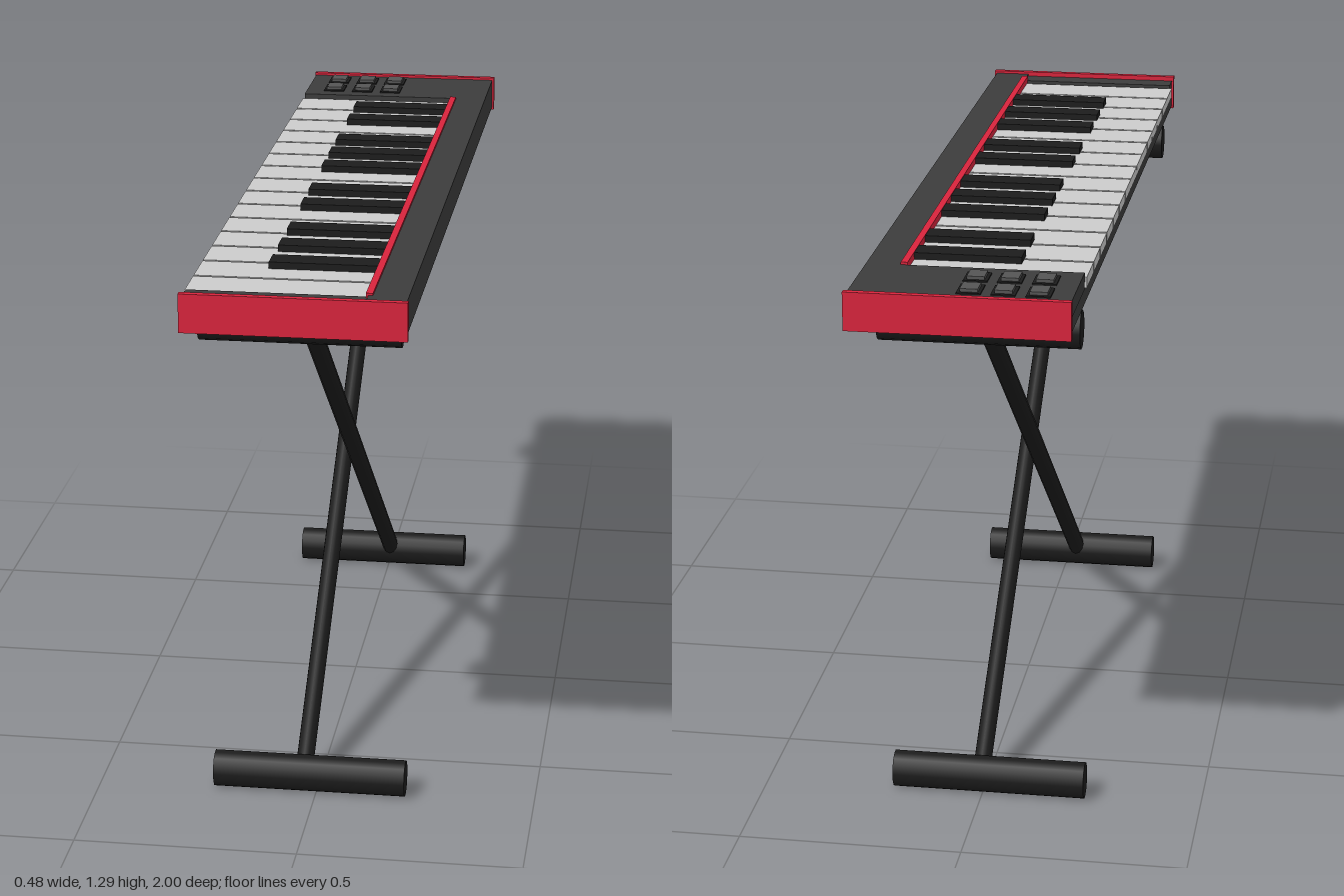
import * as THREE from 'three';

const mat = (color) => new THREE.MeshStandardMaterial({ color });

export function createModel() {
  const model = new THREE.Group();
  const dark = mat(0x3c3c3c), black = mat(0x1c1c1c), red = mat(0xd8243c);
  const ivory = mat(0xcccccc), padGrey = mat(0x555555);

  // box given by its limits on each axis
  function box(name, material, [x0, x1], [y0, y1], [z0, z1], parent = model) {
    const mesh = new THREE.Mesh(new THREE.BoxGeometry(x1 - x0, y1 - y0, z1 - z0), material);
    mesh.position.set((x0 + x1) / 2, (y0 + y1) / 2, (z0 + z1) / 2);
    mesh.name = name;
    parent.add(mesh);
    return mesh;
  }

  // Keyboard case: base slab, rear rail, control panel, end block
  const body = new THREE.Group();
  body.name = 'case';
  model.add(body);
  box('baseSlab', dark, [-0.235, 0.235], [1.203, 1.24], [-0.988, 0.988], body);
  box('rearRail', dark, [0.15, 0.235], [1.24, 1.277], [-0.988, 0.988], body);
  box('controlPanel', dark, [-0.237, 0.15], [1.24, 1.277], [-0.988, -0.772], body);
  box('endBlock', dark, [-0.235, 0.15], [1.24, 1.272], [0.932, 0.988], body);
  box('underside', black, [-0.233, 0.233], [1.201, 1.204], [-0.987, 0.987], body);
  box('trimStrip', red, [0.145, 0.16], [1.24, 1.282], [-0.77, 0.94], body);
  for (const s of [-1, 1]) {
    const z = s * 0.9925;
    box('endCap', red, [-0.24, 0.24], [1.198, 1.283], [z - 0.0075, z + 0.0075], body);
  }

  // White keys
  const keys = new THREE.Group();
  keys.name = 'keys';
  model.add(keys);
  const pitch = 0.1132, start = -0.77;
  for (let i = 0; i < 15; i++) {
    const z = start + i * pitch;
    box('whiteKey', ivory, [-0.241, 0.146], [1.242, 1.266], [z + 0.003, z + pitch - 0.004], keys);
  }

  // Black keys
  for (const z of [-0.665, -0.535, -0.33, -0.205, -0.08, 0.13, 0.257, 0.46, 0.587, 0.715]) {
    box('blackKey', black, [-0.09, 0.145], [1.25, 1.281], [z - 0.029, z + 0.029], keys);
  }

  // Two rows of three drum pads, each with a dark surround
  for (const z of [-0.928, -0.84]) {
    for (const x of [-0.165, -0.091, -0.018]) {
      box('padSurround', black, [x - 0.026, x + 0.026], [1.27, 1.28], [z - 0.032, z + 0.032]);
      box('pad', padGrey, [x - 0.019, x + 0.019], [1.27, 1.287], [z - 0.024, z + 0.024]);
    }
  }

  // Crossed stand: each side has a slanted leg, a foot bar and a support bar
  const stand = new THREE.Group();
  stand.name = 'stand';
  model.add(stand);
  const crossBar = (name, y, z) => {
    const geo = new THREE.CylinderGeometry(0.043, 0.043, 0.44, 14).rotateZ(Math.PI / 2);
    geo.scale(1, 1, 0.86);
    const bar = new THREE.Mesh(geo, black);
    bar.position.set(-0.015, y, z);
    bar.name = name;
    stand.add(bar);
  };
  const leg = (x, zTop, zFoot) => {
    const a = new THREE.Vector3(x, 0.044, zFoot), b = new THREE.Vector3(x, 1.157, zTop);
    const geo = new THREE.CylinderGeometry(0.025, 0.025, a.distanceTo(b), 12);
    geo.scale(0.8, 1, 1);
    const mesh = new THREE.Mesh(geo, black);
    mesh.position.copy(a).lerp(b, 0.5);
    mesh.rotation.x = Math.atan2(b.z - a.z, b.y - a.y);
    mesh.name = 'leg';
    stand.add(mesh);
    crossBar('footBar', 0.043, zFoot);
    crossBar('supportBar', 1.158, zTop);
  };
  leg(-0.03, -0.795, 0.685);
  leg(0.005, 0.785, -0.695);

  return model;
}
